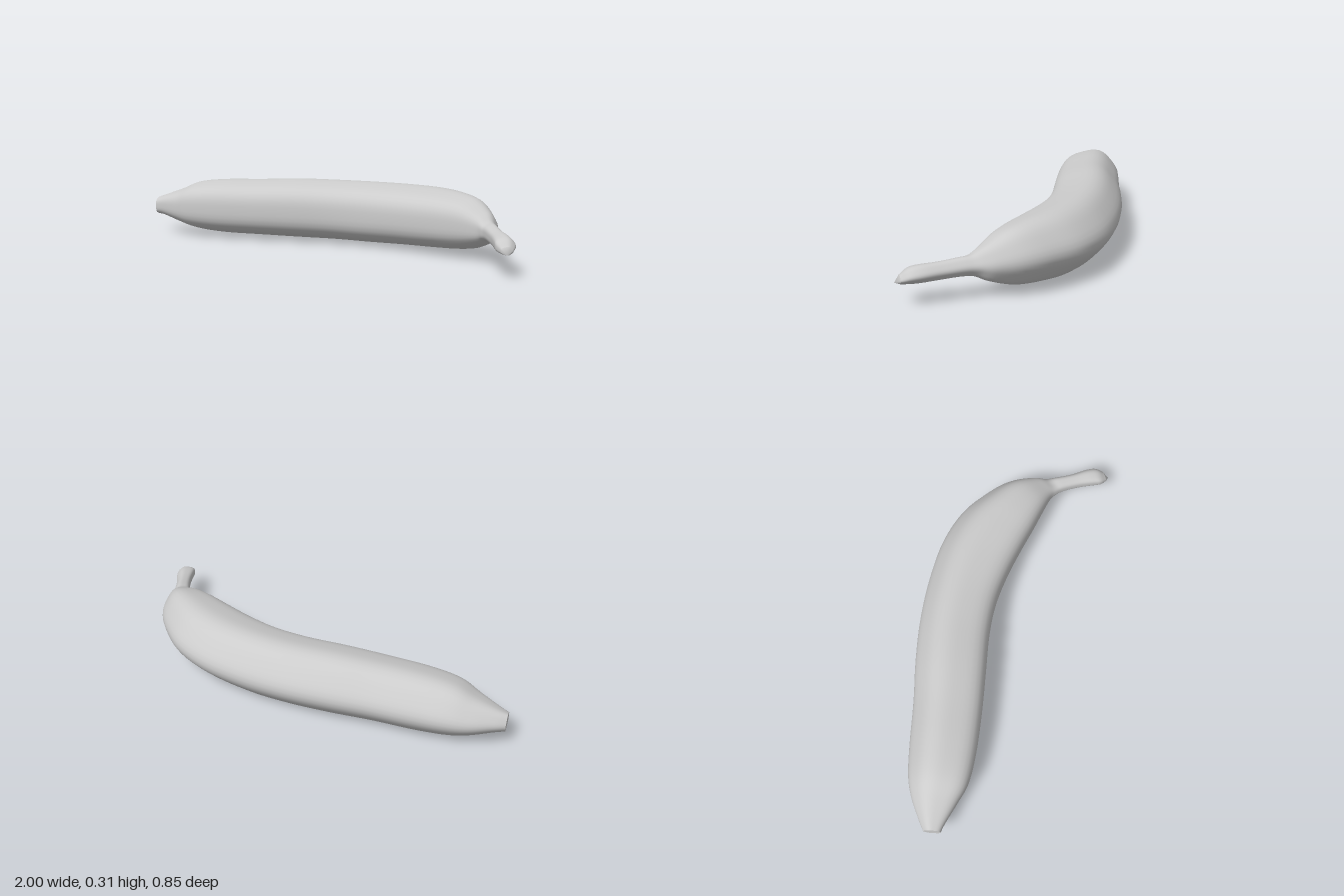
import * as THREE from 'three';

// Stations from blossom end to stem:
// outer x, outer z, inner x, inner z, bottom y, top y
const STATIONS = [
  [-1.0, -0.245, -0.995, -0.165, 0.095, 0.183],
  [-0.95, -0.275, -0.95, -0.15, 0.085, 0.2],
  [-0.85, -0.327, -0.85, -0.108, 0.052, 0.235],
  [-0.75, -0.357, -0.75, -0.07, 0.026, 0.273],
  [-0.6, -0.375, -0.6, -0.056, 0.012, 0.29],
  [-0.4, -0.391, -0.4, -0.058, 0.009, 0.296],
  [-0.2, -0.415, -0.2, -0.068, 0.005, 0.304],
  [0.01, -0.428, 0.0, -0.078, 0.003, 0.303],
  [0.22, -0.42, 0.17, -0.067, 0.0, 0.302],
  [0.44, -0.385, 0.33, -0.03, 0.004, 0.301],
  [0.62, -0.31, 0.48, 0.02, 0.011, 0.298],
  [0.75, -0.2, 0.6, 0.065, 0.024, 0.288],
  [0.83, -0.1, 0.7, 0.1, 0.043, 0.267],
  [0.875, 0.01, 0.785, 0.132, 0.075, 0.222],
  [0.885, 0.085, 0.82, 0.162, 0.1, 0.19],
  [0.903, 0.14, 0.845, 0.2, 0.105, 0.183],
  [0.937, 0.22, 0.88, 0.275, 0.1, 0.173],
  [0.98, 0.295, 0.905, 0.35, 0.095, 0.167],
  [0.998, 0.345, 0.918, 0.385, 0.094, 0.156],
  [0.994, 0.385, 0.945, 0.41, 0.094, 0.13],
];
const RINGS = 114, SIDES = 40;

const spline = (pick) =>
  new THREE.CatmullRomCurve3(STATIONS.map((s) => new THREE.Vector3(...pick(s))), false, 'catmullrom', 0.5);
const outerEdge = spline((s) => [s[0], s[4], s[1]]);
const innerEdge = spline((s) => [s[2], s[5], s[3]]);

// Softly five-sided cross-section with a flat inner face and a ridge on the outer side
function ring(t) {
  const o = outerEdge.getPoint(t), n = innerEdge.getPoint(t);
  const mid = o.clone().add(n).multiplyScalar(0.5);
  const half = n.clone().sub(o).multiplyScalar(0.5);
  const points = [];
  for (let j = 0; j < SIDES; j++) {
    const a = (j / SIDES) * Math.PI * 2;
    const r = 1 + 0.035 * Math.cos(5 * (a - Math.PI));
    const u = r * Math.cos(a) + 0.035, v = (r * Math.sin(a)) / 0.985;
    points.push(new THREE.Vector3(mid.x + half.x * u, mid.y + half.y * v, mid.z + half.z * u));
  }
  return points;
}

function build(name, points, index, material) {
  const geometry = new THREE.BufferGeometry().setFromPoints(points);
  geometry.setIndex(index);
  geometry.computeVertexNormals();
  const mesh = new THREE.Mesh(geometry, material);
  mesh.name = name;
  return mesh;
}

// Fan closing one end; offset moves the centre in or out
function endCap(name, t, offset, flip, material) {
  const points = ring(t);
  const centre = points.reduce((sum, p) => sum.add(p), new THREE.Vector3()).divideScalar(SIDES).add(offset);
  const index = [];
  for (let j = 0; j < SIDES; j++) {
    const k = (j + 1) % SIDES;
    index.push(SIDES, flip ? k : j, flip ? j : k);
  }
  return build(name, [...points, centre], index, material);
}

export function createModel() {
  const group = new THREE.Group();
  group.name = 'banana';
  const material = new THREE.MeshStandardMaterial({ color: 0xcccccc });

  // Skin: one continuous loft through body and stem
  const points = [], index = [];
  for (let i = 0; i <= RINGS; i++) points.push(...ring(i / RINGS));
  for (let i = 0; i < RINGS; i++) {
    for (let j = 0; j < SIDES; j++) {
      const k = (j + 1) % SIDES;
      const a = i * SIDES + j, b = i * SIDES + k;
      index.push(a, a + SIDES, b, b, a + SIDES, b + SIDES);
    }
  }
  group.add(build('peel', points, index, material));

  // Cut ends
  group.add(endCap('blossomEnd', 0, new THREE.Vector3(0.005, 0, 0), false, material));
  group.add(endCap('stemEnd', 1, new THREE.Vector3(0.003, -0.015, 0.022), true, material));
  return group;
}
